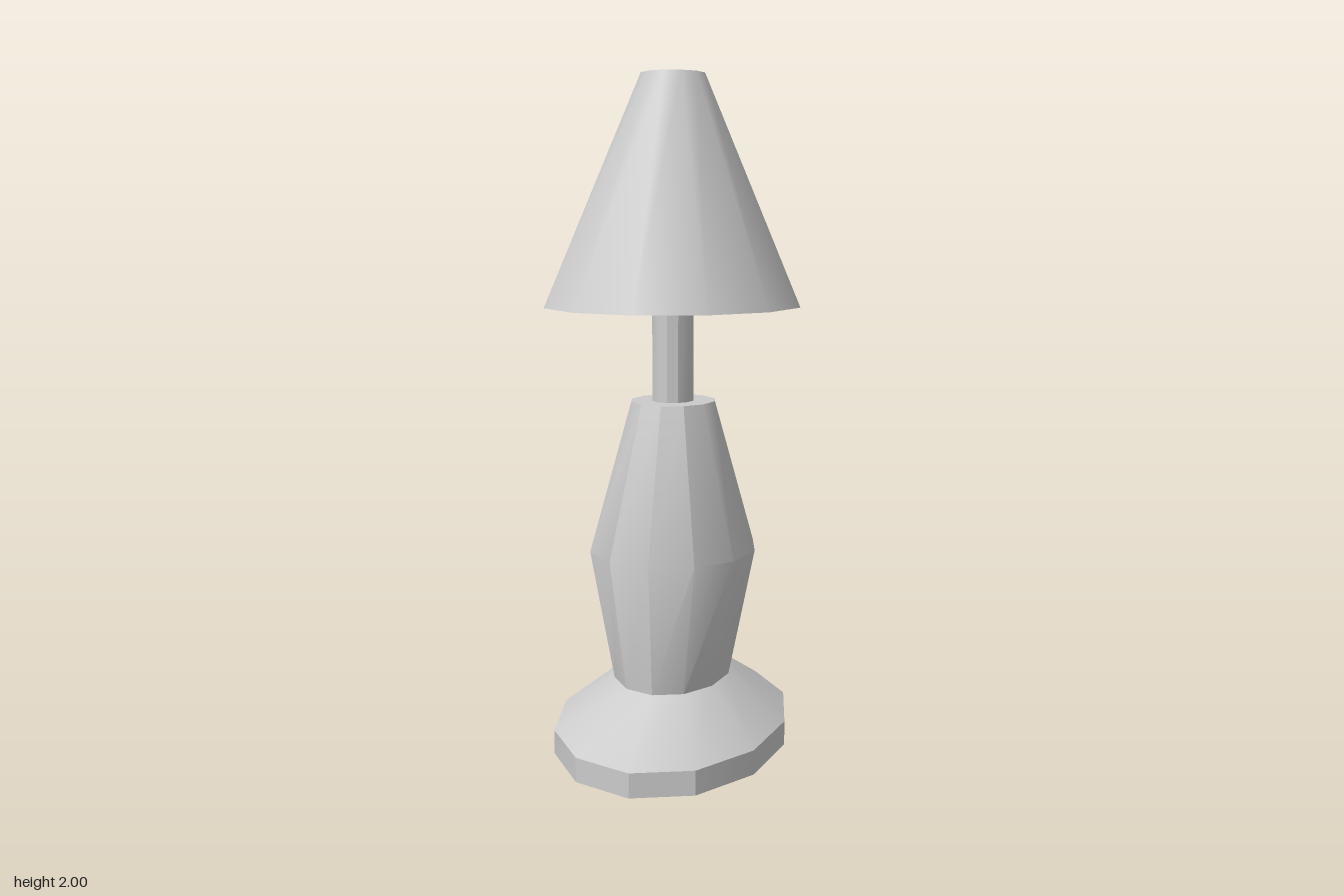
import * as THREE from 'three';
import { toCreasedNormals } from 'three/addons/utils/BufferGeometryUtils.js';

const SIDES = 12;

// Closed solid through elliptical rings [y, half width in x, half depth in z], bottom to top
function loft(rings) {
  const positions = [];
  const index = [];
  for (const [y, rx, rz] of rings) {
    for (let i = 0; i < SIDES; i++) {
      const a = (i / SIDES) * Math.PI * 2;
      positions.push(rx * Math.sin(a), y, rz * Math.cos(a));
    }
  }
  const last = rings.length - 1;
  const bottom = rings.length * SIDES;
  const top = bottom + 1;
  positions.push(0, rings[0][0], 0, 0, rings[last][0], 0);

  for (let i = 0; i < SIDES; i++) {
    const j = (i + 1) % SIDES;
    for (let r = 0; r < last; r++) {
      const lower = r * SIDES;
      const upper = lower + SIDES;
      index.push(lower + i, lower + j, upper + j, lower + i, upper + j, upper + i);
    }
    // End caps
    index.push(bottom, j, i, top, last * SIDES + i, last * SIDES + j);
  }
  const geometry = new THREE.BufferGeometry();
  geometry.setAttribute('position', new THREE.Float32BufferAttribute(positions, 3));
  geometry.setIndex(index);
  return toCreasedNormals(geometry, Math.PI / 6);
}

export function createModel() {
  const lamp = new THREE.Group();
  lamp.name = 'tableLamp';
  const material = new THREE.MeshStandardMaterial({ color: 0xcccccc });

  const parts = {
    // Oval foot with a low rim and sloping top
    base: [[0, 0.35, 0.487], [0.073, 0.35, 0.487], [0.21, 0.175, 0.243]],
    // Vase-shaped body, widest at its shoulder
    body: [[0.21, 0.175, 0.243], [0.6, 0.253, 0.281], [1.047, 0.127, 0.141]],
    // Slim pole between body and shade
    pole: [[1.047, 0.063, 0.07], [1.33, 0.063, 0.07]],
    // Closed tapering shade
    shade: [[1.33, 0.381, 0.421], [2, 0.095, 0.105]],
  };

  for (const [name, rings] of Object.entries(parts)) {
    const mesh = new THREE.Mesh(loft(rings), material);
    mesh.name = name;
    lamp.add(mesh);
  }
  return lamp;
}
